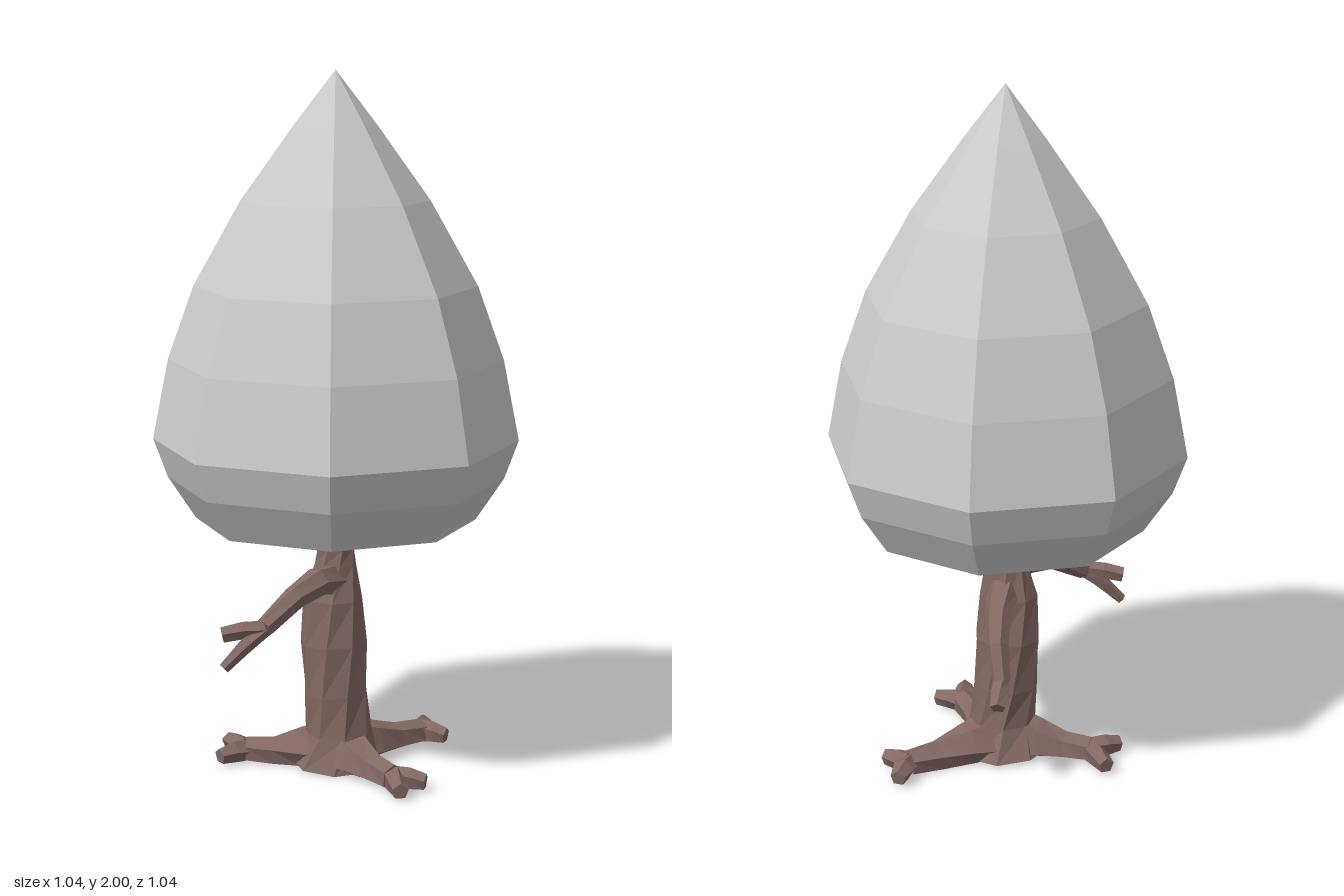
import * as THREE from 'three';

const leafMat = new THREE.MeshStandardMaterial({ color: 0xcccccc, flatShading: true });
const barkMat = new THREE.MeshStandardMaterial({ color: 0x836964, flatShading: true });

// Closed faceted limb through sections [x, y, z, radius]; each ring turns by twist, nothing dips below ground
function limb(sections, sides = 6, twist = 0.15) {
  const centres = sections.map(([x, y, z]) => new THREE.Vector3(x, y, z));
  const last = centres.length - 1;
  const pos = [], index = [];
  const push = (v) => pos.push(v.x, Math.max(0, v.y), v.z);
  centres.forEach((c, i) => {
    const t = centres[Math.min(i + 1, last)].clone().sub(centres[Math.max(i - 1, 0)]).normalize();
    const ref = Math.abs(t.y) > 0.9 ? new THREE.Vector3(0, 0, 1) : new THREE.Vector3(0, 1, 0);
    const n = ref.cross(t).normalize();
    const b = t.clone().cross(n);
    for (let j = 0; j < sides; j++) {
      const a = (j / sides) * Math.PI * 2 + i * twist;
      const r = sections[i][3];
      push(c.clone().addScaledVector(n, r * Math.cos(a)).addScaledVector(b, r * Math.sin(a)));
    }
  });
  for (let i = 0; i < last; i++) {
    for (let j = 0; j < sides; j++) {
      const k = (j + 1) % sides;
      const a = i * sides + j, b = i * sides + k;
      index.push(a, b, b + sides, a, b + sides, a + sides);
    }
  }
  const start = pos.length / 3;
  push(centres[0]);
  push(centres[last]);
  for (let j = 0; j < sides; j++) {
    const k = (j + 1) % sides;
    index.push(start, k, j, start + 1, last * sides + j, last * sides + k);
  }
  const g = new THREE.BufferGeometry();
  g.setAttribute('position', new THREE.Float32BufferAttribute(pos, 3));
  g.setIndex(index);
  const flat = g.toNonIndexed();
  flat.computeVertexNormals();
  return flat;
}

// Limb that splits into short prongs at its end
function forked(name, path, tips) {
  const group = new THREE.Group();
  group.name = name;
  const add = (part, geo) => {
    const m = new THREE.Mesh(geo, barkMat);
    m.name = part;
    group.add(m);
  };
  add(name + 'Stem', limb(path));
  const [x, y, z, r] = path[path.length - 1];
  tips.forEach(([tx, ty, tz, tr]) => {
    const mid = [(x + tx) / 2, (y + ty) / 2 + 0.004, (z + tz) / 2, (r + tr) / 2];
    add(name + 'Prong', limb([[x, y, z, r * 0.9], mid, [tx, ty, tz, tr]], 5));
  });
  return group;
}

export function createModel() {
  const tree = new THREE.Group();
  tree.name = 'tree';

  // Eight-sided pointed crown
  const profile = [
    [0, 0.675], [0.22, 0.695], [0.4, 0.73], [0.48, 0.85], [0.52, 0.96], [0.475, 1.19],
    [0.4, 1.4], [0.265, 1.64], [0.115, 1.85], [0, 2],
  ].map(([r, y]) => new THREE.Vector2(r, y));
  const crown = new THREE.Mesh(new THREE.LatheGeometry(profile, 8), leafMat);
  crown.name = 'crown';
  tree.add(crown);

  // Twisted trunk, narrowing under the crown
  const trunk = new THREE.Mesh(limb([
    [0, 0, 0, 0.13], [0.01, 0.1, 0.005, 0.097], [0, 0.22, 0.005, 0.095], [-0.005, 0.37, 0.005, 0.098],
    [-0.008, 0.5, 0.008, 0.085], [0, 0.6, 0.005, 0.06], [0, 0.65, 0.005, 0.055], [0, 0.7, 0.005, 0.075],
  ], 8, 0.2), barkMat);
  trunk.name = 'trunk';
  tree.add(trunk);

  // Three forked roots, flat on the ground
  const roots = [
    ['backRoot', 0.25, -0.2, [[0.325, -0.17], [0.26, -0.295]]],
    ['sideRoot', -0.26, -0.02, [[-0.335, 0.04], [-0.32, -0.11]]],
    ['frontRoot', 0.17, 0.22, [[0.19, 0.325], [0.26, 0.24]]],
  ];
  for (const [name, x, z, tips] of roots) {
    const path = [[0, 0.04, 0, 0.1], [0.4 * x, 0.035, 0.4 * z, 0.07], [0.7 * x, 0.03, 0.7 * z, 0.046], [x, 0.03, z, 0.04]];
    tree.add(forked(name, path, tips.map(([tx, tz]) => [tx, 0.028, tz, 0.024])));
  }

  // Two drooping forked branches
  tree.add(forked('frontBranch', [
    [0, 0.56, 0.02, 0.05], [-0.05, 0.57, 0.11, 0.042], [-0.11, 0.545, 0.19, 0.034], [-0.19, 0.48, 0.27, 0.028],
  ], [[-0.305, 0.465, 0.29, 0.023], [-0.3, 0.375, 0.31, 0.016]]));
  tree.add(forked('backBranch', [
    [0, 0.53, -0.03, 0.05], [0, 0.48, -0.11, 0.04], [-0.01, 0.42, -0.18, 0.032], [-0.03, 0.33, -0.225, 0.027],
  ], [[-0.035, 0.285, -0.305, 0.023], [-0.015, 0.26, -0.25, 0.016]]));

  return tree;
}
